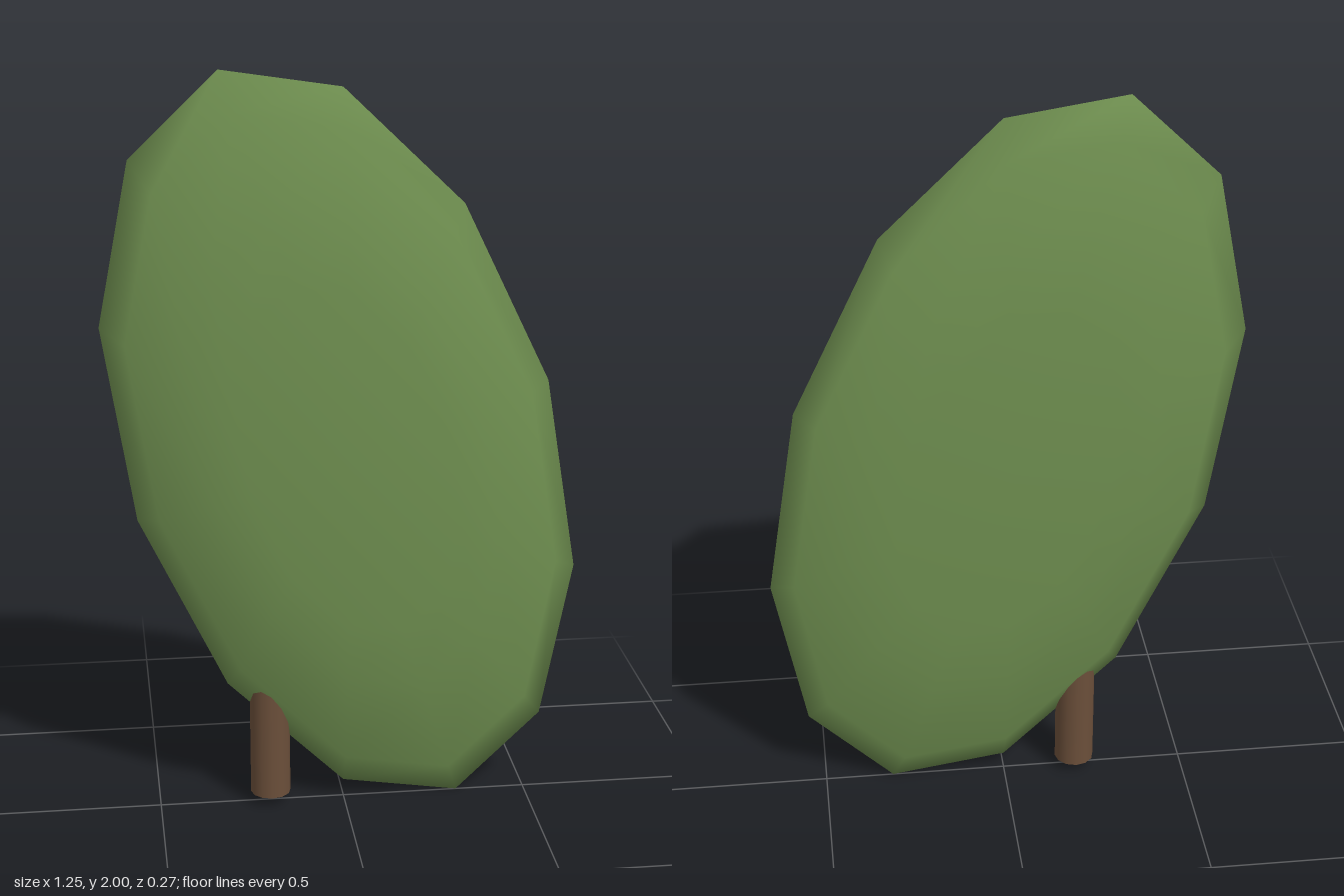
import * as THREE from 'three';

const leafGreen = new THREE.MeshStandardMaterial({ color: 0x6f8f50 });
leafGreen.name = 'leaf green';
const barkBrown = new THREE.MeshStandardMaterial({ color: 0x6b4f3a });
barkBrown.name = 'bark brown';

// Flattened twelve-sided crown, turned about z and then sheared so it leans
function makeCrown() {
  const profile = [[0, -0.136], [0.47, -0.12], [0.64, -0.101], [0.9, -0.06], [1, 0],
    [0.9, 0.06], [0.64, 0.101], [0.47, 0.12], [0, 0.136]];
  const sides = 12;
  const positions = [];
  const index = [];
  const addPoint = (r, a, z) => {
    const c = r * Math.cos(a), s = r * Math.sin(a);
    positions.push(0.625 * c, 1 + 0.95 * s - 0.35 * c, z);
  };
  // Back pole, rings, front pole
  addPoint(0, 0, profile[0][1]);
  const rings = profile.slice(1, -1);
  for (const [r, z] of rings) {
    for (let i = 0; i < sides; i++) addPoint(r, (i / sides) * Math.PI * 2, z);
  }
  addPoint(0, 0, profile[profile.length - 1][1]);
  const front = positions.length / 3 - 1;
  const at = (ring, i) => 1 + ring * sides + (i % sides);
  for (let i = 0; i < sides; i++) {
    index.push(0, at(0, i + 1), at(0, i));
    for (let k = 0; k < rings.length - 1; k++) {
      const a = at(k, i), b = at(k, i + 1), c = at(k + 1, i + 1), d = at(k + 1, i);
      index.push(a, b, c, a, c, d);
    }
    index.push(front, at(rings.length - 1, i), at(rings.length - 1, i + 1));
  }
  const geometry = new THREE.BufferGeometry();
  geometry.setAttribute('position', new THREE.Float32BufferAttribute(positions, 3));
  geometry.setIndex(index);
  geometry.computeVertexNormals();
  return geometry;
}

export function createModel() {
  const tree = new THREE.Group();
  tree.name = 'tree';

  const crown = new THREE.Mesh(makeCrown(), leafGreen);
  crown.name = 'crown';
  tree.add(crown);

  // Short round trunk, its top buried in the crown
  const trunk = new THREE.Mesh(new THREE.CylinderGeometry(0.054, 0.054, 0.47, 12), barkBrown);
  trunk.name = 'trunk';
  trunk.position.set(-0.2, 0.265, 0);
  tree.add(trunk);

  return tree;
}
